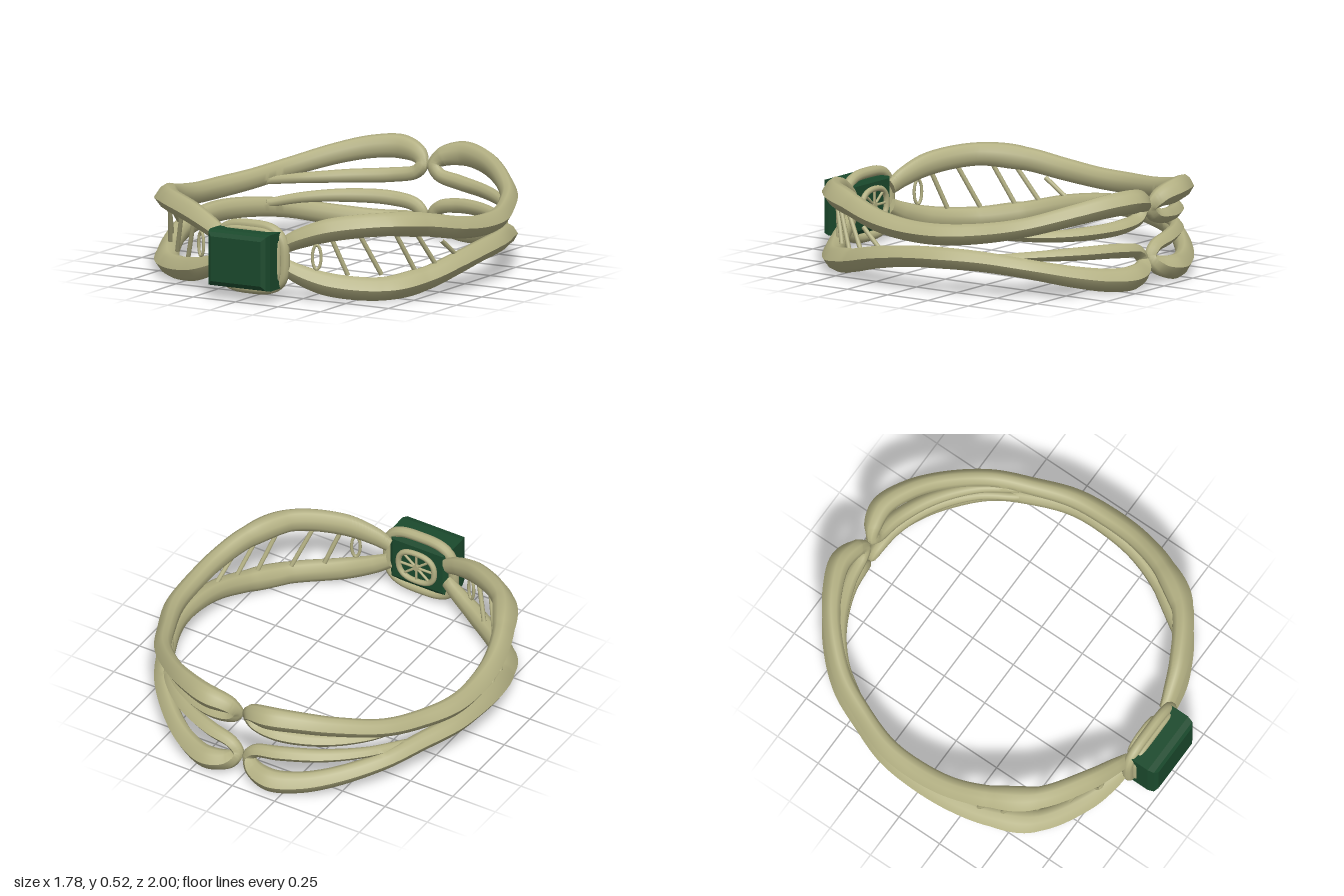
import * as THREE from 'three';
import { toCreasedNormals } from 'three/addons/utils/BufferGeometryUtils.js';

const V = (x, y, z) => new THREE.Vector3(x, y, z);
const metal = new THREE.MeshStandardMaterial({ color: 0xb3b083 });
const gemMat = new THREE.MeshStandardMaterial({ color: 0x1b4a2d });

// The bracelet's middle plane tips slightly towards the front
const midY = (z) => 0.25 - 0.02 * z;
const GEM_Y = 0.217;

// Band stations: x, z, height above the middle plane, radial width, height
const STATIONS = [
  [0.17, 0.82, 0.05, 0.06, 0.08],
  [0.25, 0.80, 0.09, 0.08, 0.10],
  [0.40, 0.745, 0.14, 0.10, 0.12],
  [0.63, 0.60, 0.165, 0.11, 0.12],
  [0.755, 0.40, 0.14, 0.11, 0.12],
  [0.82, 0.20, 0.095, 0.105, 0.115],
  [0.838, 0.0, 0.067, 0.105, 0.11],
  [0.822, -0.20, 0.06, 0.10, 0.11],
  [0.75, -0.40, 0.072, 0.09, 0.105],
  [0.65, -0.60, 0.105, 0.088, 0.10],
  [0.47, -0.79, 0.16, 0.09, 0.11],
  [0.32, -0.89, 0.19, 0.10, 0.12],
  [0.18, -0.94, 0.195, 0.11, 0.125],
  [0.07, -0.92, 0.17, 0.09, 0.10],
  [0.035, -0.895, 0.127, 0.06, 0.07],
  [0.07, -0.89, 0.085, 0.07, 0.07],
  [0.20, -0.875, 0.06, 0.08, 0.075],
  [0.40, -0.79, 0.05, 0.075, 0.07],
  [0.58, -0.64, 0.05, 0.06, 0.055],
  [0.70, -0.46, 0.06, 0.045, 0.045],
];

// Unit cross-section: ridge on the outside, rounded inside
const HALF = [[0.25, 0.36], [0, 0.5], [-0.3, 0.45], [-0.5, 0.18]];
const SECTION = [[0.5, 0], ...HALF, ...HALF.map(([n, b]) => [n, -b]).reverse()];

// One continuous strand: along the side, round the back tip, returning inside
function bandGeometry(sx, sy) {
  const path = new THREE.CatmullRomCurve3(STATIONS.map(([x, z, o]) => V(x, o, z)));
  const size = new THREE.CatmullRomCurve3(STATIONS.map(([, , , w, h]) => V(w, h, 0)));
  const n = 190, m = SECTION.length, pos = [], idx = [];
  for (let i = 0; i <= n; i++) {
    const p = path.getPoint(i / n), s = size.getPoint(i / n), t = path.getTangent(i / n);
    const out = V(p.x, 0, p.z).normalize();
    out.addScaledVector(t, -out.dot(t)).normalize();
    const up = new THREE.Vector3().crossVectors(out, t);
    for (const [a, b] of SECTION) {
      const q = p.clone().addScaledVector(out, a * s.x).addScaledVector(up, b * s.y);
      pos.push(sx * q.x, midY(q.z) + sy * q.y, q.z);
    }
  }
  const tri = (a, b, c) => (sx * sy > 0 ? idx.push(a, b, c) : idx.push(a, c, b));
  for (let i = 0; i < n; i++) for (let j = 0; j < m; j++) {
    const k = (j + 1) % m, a = i * m + j, b = i * m + k;
    tri(a, a + m, b);
    tri(b, a + m, b + m);
  }
  // End caps
  for (let j = 1; j < m - 1; j++) {
    tri(0, j, j + 1);
    tri(n * m, n * m + j + 1, n * m + j);
  }
  // Make the winding face outwards
  const g = new THREE.BufferGeometry();
  g.setAttribute('position', new THREE.Float32BufferAttribute(pos, 3));
  g.setIndex(idx);
  let vol = 0;
  const at = (i) => V(pos[3 * i], pos[3 * i + 1], pos[3 * i + 2]);
  for (let i = 0; i < idx.length; i += 3) vol += at(idx[i]).dot(at(idx[i + 1]).cross(at(idx[i + 2])));
  if (vol < 0) g.setIndex(idx.slice().reverse());
  return toCreasedNormals(g, 0.85);
}

// Closed wire along a rounded rectangle (power 2 is an ellipse)
function wireLoop(rx, ry, power, r) {
  const pts = [];
  const f = (v) => Math.sign(v) * Math.abs(v) ** (2 / power);
  for (let i = 0; i < 32; i++) {
    const a = (i / 32) * Math.PI * 2;
    pts.push(V(rx * f(Math.cos(a)), ry * f(Math.sin(a)), 0));
  }
  return new THREE.TubeGeometry(new THREE.CatmullRomCurve3(pts, true), 80, r, 10, true);
}

function bar(a, b, r) {
  return new THREE.TubeGeometry(new THREE.LineCurve3(a, b), 1, r, 8);
}

export function createModel() {
  const model = new THREE.Group();
  model.name = 'bracelet';
  const add = (parent, name, geo, mat = metal) => {
    const mesh = new THREE.Mesh(geo, mat);
    mesh.name = name;
    parent.add(mesh);
    return mesh;
  };

  // Diagonal rungs: top x, y, z then bottom x, y, z
  const rungs = [
    [0.40, 0.35, 0.74, 0.47, 0.14, 0.68],
    [0.52, 0.36, 0.66, 0.60, 0.14, 0.57],
    [0.66, 0.36, 0.54, 0.72, 0.15, 0.44],
    [0.73, 0.33, 0.43, 0.775, 0.17, 0.33],
    [0.79, 0.29, 0.30, 0.81, 0.20, 0.19],
  ];
  for (const sx of [1, -1]) {
    const side = new THREE.Group();
    side.name = sx > 0 ? 'leftSide' : 'rightSide';
    model.add(side);
    add(side, 'upperBand', bandGeometry(sx, 1));
    add(side, 'lowerBand', bandGeometry(sx, -1));
    for (const [a, b, c, d, e, f] of rungs) add(side, 'rung', bar(V(sx * a, b, c), V(sx * d, e, f), 0.012));
    const oval = add(side, 'ovalLink', wireLoop(0.022, 0.062, 2, 0.008));
    oval.position.set(sx * 0.34, 0.235, 0.77);
    oval.rotation.y = sx * 0.42;
  }

  // Setting: heavy rim, thin inner rim, and a small spoked ring behind
  const setting = new THREE.Group();
  setting.name = 'setting';
  setting.position.y = GEM_Y;
  model.add(setting);
  add(setting, 'outerRim', wireLoop(0.193, 0.163, 3.2, 0.028)).position.z = 0.842;
  add(setting, 'innerRim', wireLoop(0.172, 0.145, 4, 0.016)).position.z = 0.872;
  add(setting, 'backRing', wireLoop(0.105, 0.085, 2.5, 0.015)).position.z = 0.797;
  for (let i = 0; i < 8; i++) {
    const a = (i / 8) * Math.PI * 2;
    add(setting, 'spoke', bar(V(0, 0, 0.797), V(0.11 * Math.cos(a), 0.09 * Math.sin(a), 0.797), 0.007));
  }
  const hub = add(setting, 'hub', new THREE.CylinderGeometry(0.018, 0.018, 0.016, 16));
  hub.rotation.x = Math.PI / 2;
  hub.position.z = 0.797;

  // Rectangular stone with bevelled edges
  const hx = 0.147, hy = 0.115;
  const outline = new THREE.Shape([[-hx, -hy], [hx, -hy], [hx, hy], [-hx, hy]].map(([x, y]) => new THREE.Vector2(x, y)));
  const stone = new THREE.ExtrudeGeometry(outline, {
    depth: 0.1, bevelEnabled: true, bevelThickness: 0.045, bevelSize: 0.03, bevelSegments: 2,
  });
  add(setting, 'stone', stone, gemMat).position.z = 0.855;
  return model;
}
